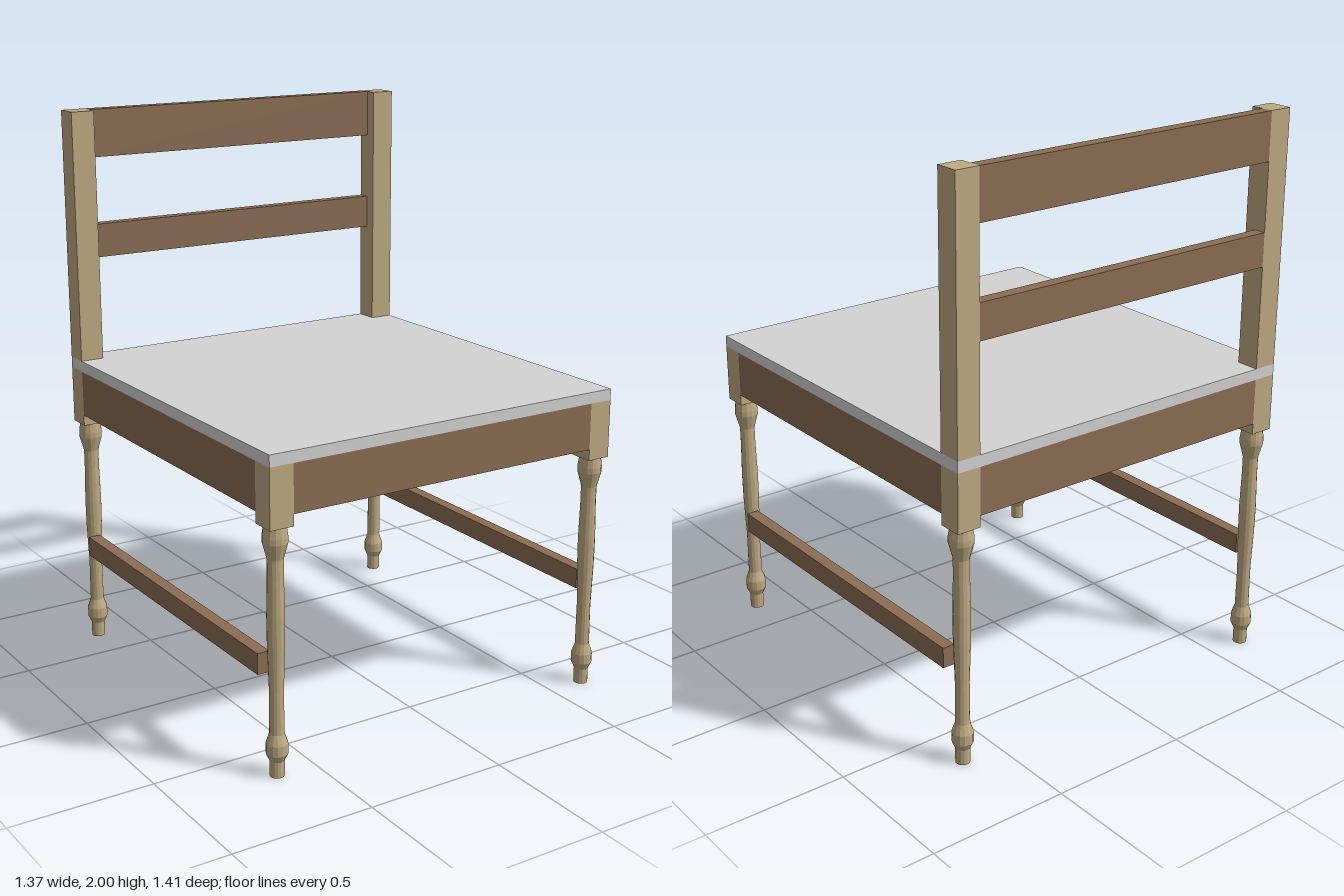
import * as THREE from 'three';

const X = 0.683, Z = 0.707;      // half width and half depth
const POST = 0.086, RAIL = 0.044; // post side and rail thickness
const SEAT_LOW = 1.06, SEAT_TOP = 1.1, BLOCK_LOW = 0.855;

export function createModel() {
  const paleWood = new THREE.MeshStandardMaterial({ name: 'paleWood', color: 0xbfaa82 });
  const brownWood = new THREE.MeshStandardMaterial({ name: 'brownWood', color: 0x8b6e53 });
  const seatGrey = new THREE.MeshStandardMaterial({ name: 'seatGrey', color: 0xd3d3d3 });
  const turnedWood = paleWood.clone();
  turnedWood.name = 'turnedWood';
  turnedWood.flatShading = true;

  const chair = new THREE.Group();
  chair.name = 'chair';

  // Box given by its centre in x and z, its size, and its bottom and top heights
  const addBox = (name, material, x, z, width, depth, low, high) => {
    const mesh = new THREE.Mesh(new THREE.BoxGeometry(width, high - low, depth), material);
    mesh.name = name;
    mesh.position.set(x, (low + high) / 2, z);
    chair.add(mesh);
  };

  // Seat board
  addBox('seat', seatGrey, 0, 0, 2 * X, 2 * Z, SEAT_LOW, SEAT_TOP);

  // Turned leg profile: foot, bulb, swelling shaft, collar
  const profile = [
    [0, 0], [0.025, 0], [0.025, 0.055], [0.037, 0.08], [0.037, 0.115],
    [0.025, 0.15], [0.024, 0.3], [0.029, 0.45], [0.03, 0.55], [0.027, 0.68],
    [0.027, 0.745], [0.042, 0.8], [0.042, 0.82], [0.037, BLOCK_LOW],
  ].map(([r, y]) => new THREE.Vector2(r, y));
  const legGeometry = new THREE.LatheGeometry(profile, 14);

  const postX = X - POST / 2, postZ = Z - POST / 2;
  const spanX = 2 * (X - POST), spanZ = 2 * (Z - POST);

  for (const side of [1, -1]) {
    const sideName = side > 0 ? 'left' : 'right';

    // Four turned legs with square blocks on top
    for (const end of [1, -1]) {
      const endName = end > 0 ? 'Front' : 'Back';
      const leg = new THREE.Mesh(legGeometry, turnedWood);
      leg.name = sideName + endName + 'Leg';
      leg.position.set(side * postX, 0, end * postZ);
      chair.add(leg);
      addBox(sideName + endName + 'Block', paleWood, side * postX, end * postZ, POST, POST, BLOCK_LOW, SEAT_LOW);
    }

    // Back post, side apron and side stretcher
    addBox(sideName + 'BackPost', paleWood, side * postX, -postZ, POST, POST, SEAT_TOP, 2);
    const railX = side * (X - RAIL / 2);
    addBox(sideName + 'Apron', brownWood, railX, 0, RAIL, spanZ, 0.895, SEAT_LOW);
    addBox(sideName + 'Stretcher', brownWood, railX, 0, RAIL, spanZ, 0.345, 0.418);
  }

  // Front and back aprons, and the two back slats
  const railZ = Z - RAIL / 2;
  addBox('frontApron', brownWood, 0, railZ, spanX, RAIL, 0.895, SEAT_LOW);
  addBox('backApron', brownWood, 0, -railZ, spanX, RAIL, 0.895, SEAT_LOW);
  addBox('middleSlat', brownWood, 0, -railZ, spanX, RAIL, 1.467, 1.588);
  addBox('topSlat', brownWood, 0, -railZ, spanX, RAIL, 1.83, 2);

  return chair;
}
